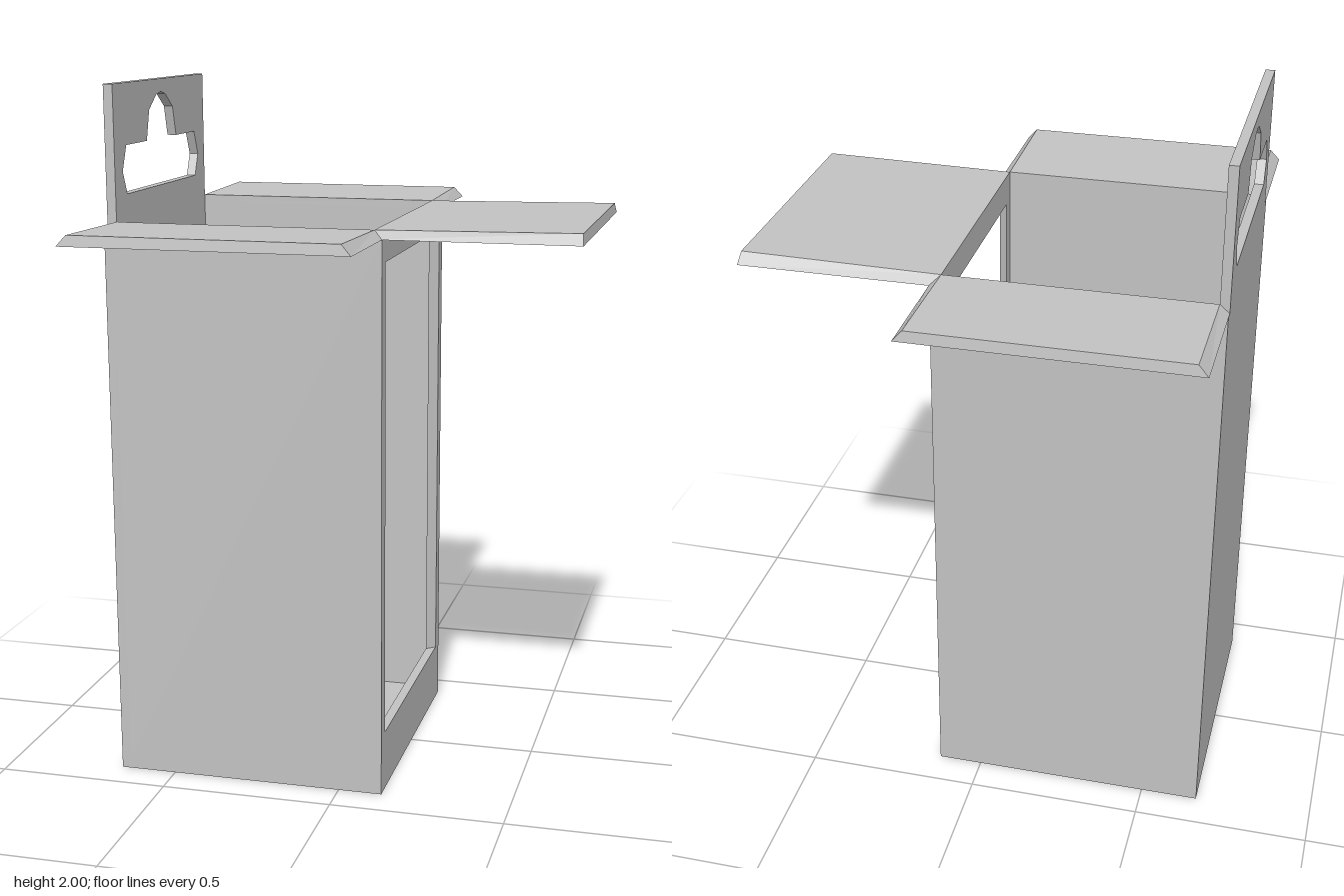
import * as THREE from 'three';

const T = 0.027;                      // card thickness
const X0 = -0.665, X1 = 0.127;        // outer faces of the carton body
const Z = 0.4, H = 1.6, FLAP_TOP = 1.63;

export function createModel() {
  const group = new THREE.Group();
  const card = new THREE.MeshStandardMaterial({ color: 0xc2c2c2 });

  const add = (name, geometry) => {
    const mesh = new THREE.Mesh(geometry, card);
    mesh.name = name;
    group.add(mesh);
  };

  // A box between two corners; an optional rule moves its vertices
  const block = (x0, x1, y0, y1, z0, z1, rule) => {
    let g = new THREE.BoxGeometry(x1 - x0, y1 - y0, z1 - z0);
    g.translate((x0 + x1) / 2, (y0 + y1) / 2, (z0 + z1) / 2);
    if (rule) {
      const p = g.attributes.position, v = new THREE.Vector3();
      for (let i = 0; i < p.count; i++) {
        v.fromBufferAttribute(p, i);
        rule(v);
        p.setXYZ(i, v.x, v.y, v.z);
      }
      g = g.toNonIndexed();
      g.computeVertexNormals();
    }
    return g;
  };

  // Body: floor and solid walls
  add('floor', block(X0, X1, 0, 0.03, -Z, Z));
  add('backPanel', block(X0, X0 + T, 0.03, H, -Z, Z));
  for (const s of [-1, 1]) {
    const a = s * (Z - T), b = s * Z;
    add('sideWall', block(X0 + T, X1, 0.03, H, Math.min(a, b), Math.max(a, b)));
  }

  // Window wall: sill, header and posts with splayed inner edges
  const xi = X1 - T, zi = Z - T, w0 = 0.173, w1 = 1.535;
  add('windowSill', block(xi, X1, 0.03, w0, -zi, zi));
  add('windowHeader', block(xi, X1, w1, H, -zi, zi));
  for (const s of [-1, 1]) {
    const a = s * 0.356, b = s * zi;
    add('windowPost', block(xi, X1, w0, w1, Math.min(a, b), Math.max(a, b), v => {
      if (Math.abs(v.z) < 0.36 && v.x < 0.11) v.z = s * 0.332;
    }));
  }

  // Open flaps: bevelled edges, a little thinner at the hinge
  for (const s of [-1, 1]) {
    const a = s * zi, b = s * 0.73;
    add('sideFlap', block(X0, X1, H, FLAP_TOP, Math.min(a, b), Math.max(a, b), v => {
      if (v.y < 1.61) return;
      v.x += v.x < -0.2 ? T : -T;
      if (Math.abs(v.z) > 0.5) v.z -= s * 0.005;
      else v.y -= 0.007;
    }));
  }
  add('lidFlap', block(xi, 0.665, H, FLAP_TOP, -Z, Z, v => {
    if (v.y < 1.61) return;
    v.z -= Math.sign(v.z) * T;
    if (v.x > 0.4) v.x -= 0.004;
    else v.y -= 0.007;
  }));

  // Hanging tab with a stepped slot
  const tab = new THREE.Shape([
    [-zi, H], [zi, H], [zi, 2], [-zi, 2],
  ].map(([z, y]) => new THREE.Vector2(z, y)));
  const half = [[0.285, 1.692], [0.315, 1.757], [0.283, 1.828], [0.122, 1.828],
    [0.097, 1.915], [0.037, 1.955]];
  const slot = [...half, [0, 1.963], ...half.map(([z, y]) => [-z, y]).reverse()];
  tab.holes.push(new THREE.Path(slot.map(([z, y]) => new THREE.Vector2(z, y))));
  const tabGeometry = new THREE.ExtrudeGeometry(tab, { depth: T, bevelEnabled: false });
  tabGeometry.rotateY(Math.PI / 2).translate(X0, 0, 0);
  add('hangingTab', tabGeometry);

  return group;
}
